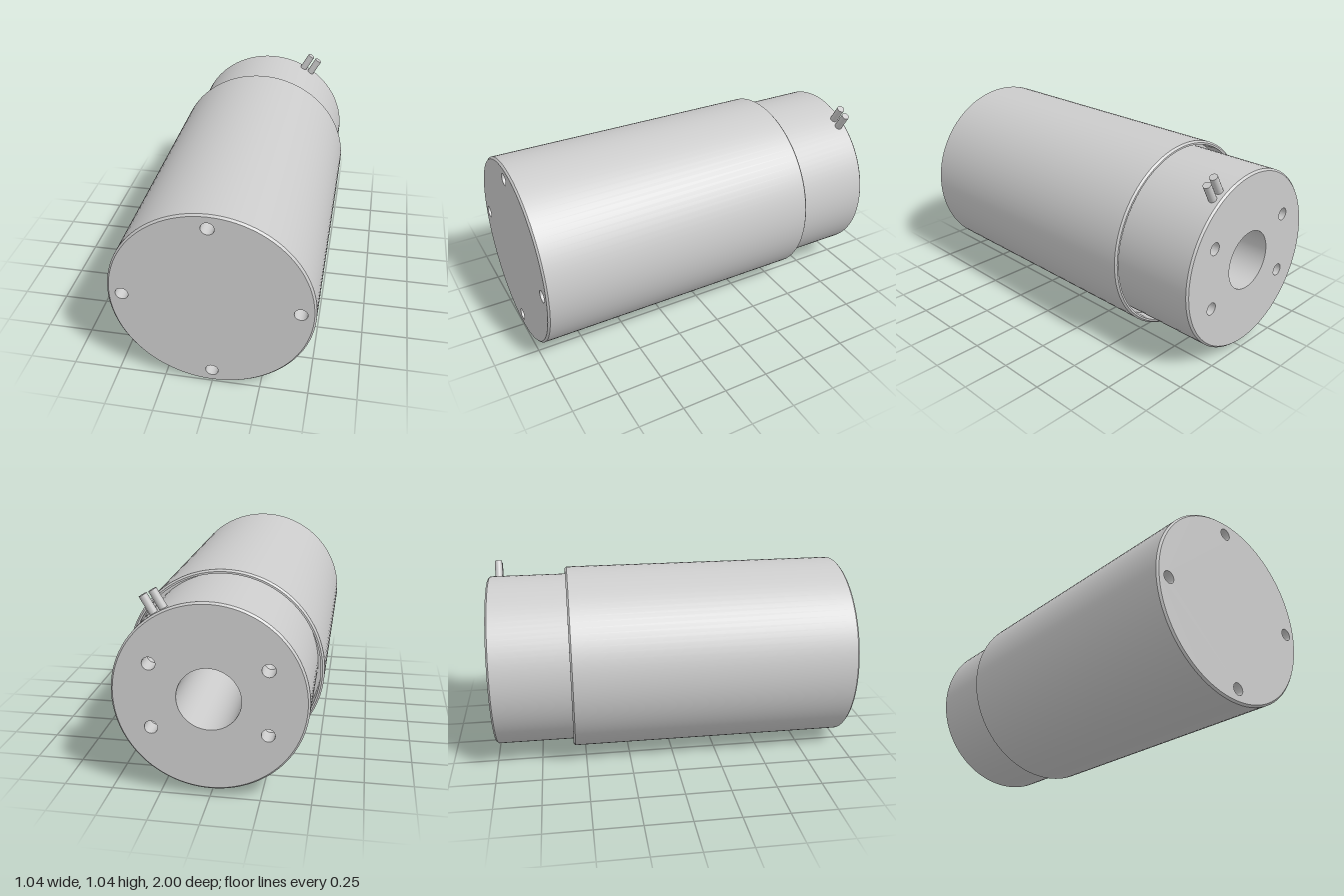
import * as THREE from 'three';
import { mergeGeometries } from 'three/addons/utils/BufferGeometryUtils.js';

const SEG = 96;
const CY = 0.522; // height of the main axis
const material = new THREE.MeshStandardMaterial({ color: 0xcccccc });

function mesh(name, geometry) {
  const m = new THREE.Mesh(geometry, material);
  m.name = name;
  return m;
}

// Turned part along z from [radius, z] points, with a sharp edge at every point
function turned(points) {
  const bands = [];
  for (let i = 0; i < points.length - 1; i++) {
    const pair = [points[i], points[i + 1]].map(([r, z]) => new THREE.Vector2(r, z));
    bands.push(new THREE.LatheGeometry(pair, SEG));
  }
  return mergeGeometries(bands).rotateX(Math.PI / 2);
}

// Flat disc facing +z with round holes [x, y, r]
function disc(radius, holes) {
  const shape = new THREE.Shape().absarc(0, 0, radius, 0, Math.PI * 2);
  for (const [x, y, r] of holes) {
    shape.holes.push(new THREE.Path().absarc(x, y, r, 0, Math.PI * 2, true));
  }
  return new THREE.ShapeGeometry(shape, SEG / 2);
}

// Blind drilled hole opening toward +z at z = 0, with a conical bottom
const drillHole = (r, depth) => turned([[r, 0], [r, -depth], [0, -depth - r * 0.6]]);

export function createModel() {
  const model = new THREE.Group();
  const core = new THREE.Group();
  core.name = 'cylinderAssembly';
  core.position.y = CY;
  model.add(core);

  // Rear neck, narrow gap around it, and the main sleeve
  core.add(mesh('rearNeck', turned([[0.47, -1], [0.48, -0.99], [0.48, -0.47]])));
  core.add(mesh('mainSleeve', turned([
    [0.48, -0.47], [0.5, -0.47], [0.5, -0.57], [0.51, -0.57],
    [0.52, -0.56], [0.52, 0.99], [0.51, 1],
  ])));

  // Front face with four drilled holes
  const holeR = 0.033;
  const frontHoles = [[0.445, 0], [-0.445, 0], [0, 0.445], [0, -0.445]];
  const front = mesh('frontFace', disc(0.51, frontHoles.map(([x, y]) => [x, y, holeR])));
  front.position.z = 1;
  core.add(front);
  for (const [x, y] of frontHoles) {
    const hole = mesh('frontHole', drillHole(holeR, 0.1));
    hole.position.set(x, y, 1);
    core.add(hole);
  }

  // Rear face with a central bore and four mounting holes
  const boreR = 0.158;
  const rear = new THREE.Group();
  rear.name = 'rearEnd';
  rear.position.z = -1;
  rear.rotation.y = Math.PI;
  core.add(rear);
  const rearHoles = [[1, 1], [-1, 1], [1, -1], [-1, -1]].map(([sx, sy]) => [sx * 0.286, sy * 0.165]);
  rear.add(mesh('rearFace', disc(0.47, [[0, 0, boreR], ...rearHoles.map(([x, y]) => [x, y, holeR])])));
  rear.add(mesh('centralBore', turned([[boreR, 0], [boreR, -0.8], [0, -0.8]])));
  for (const [x, y] of rearHoles) {
    const hole = mesh('rearHole', drillHole(holeR, 0.1));
    hole.position.set(x, y, 0);
    rear.add(hole);
  }

  // Pair of parallel pins standing out of the neck
  const pins = new THREE.Group();
  pins.name = 'pins';
  pins.position.z = -0.95;
  pins.rotation.z = -Math.PI / 6;
  for (const side of [-1, 1]) {
    const pin = mesh('pin', new THREE.CylinderGeometry(0.021, 0.021, 0.13, 32));
    pin.position.set(side * 0.027, 0.513, 0);
    pins.add(pin);
  }
  core.add(pins);

  return model;
}
